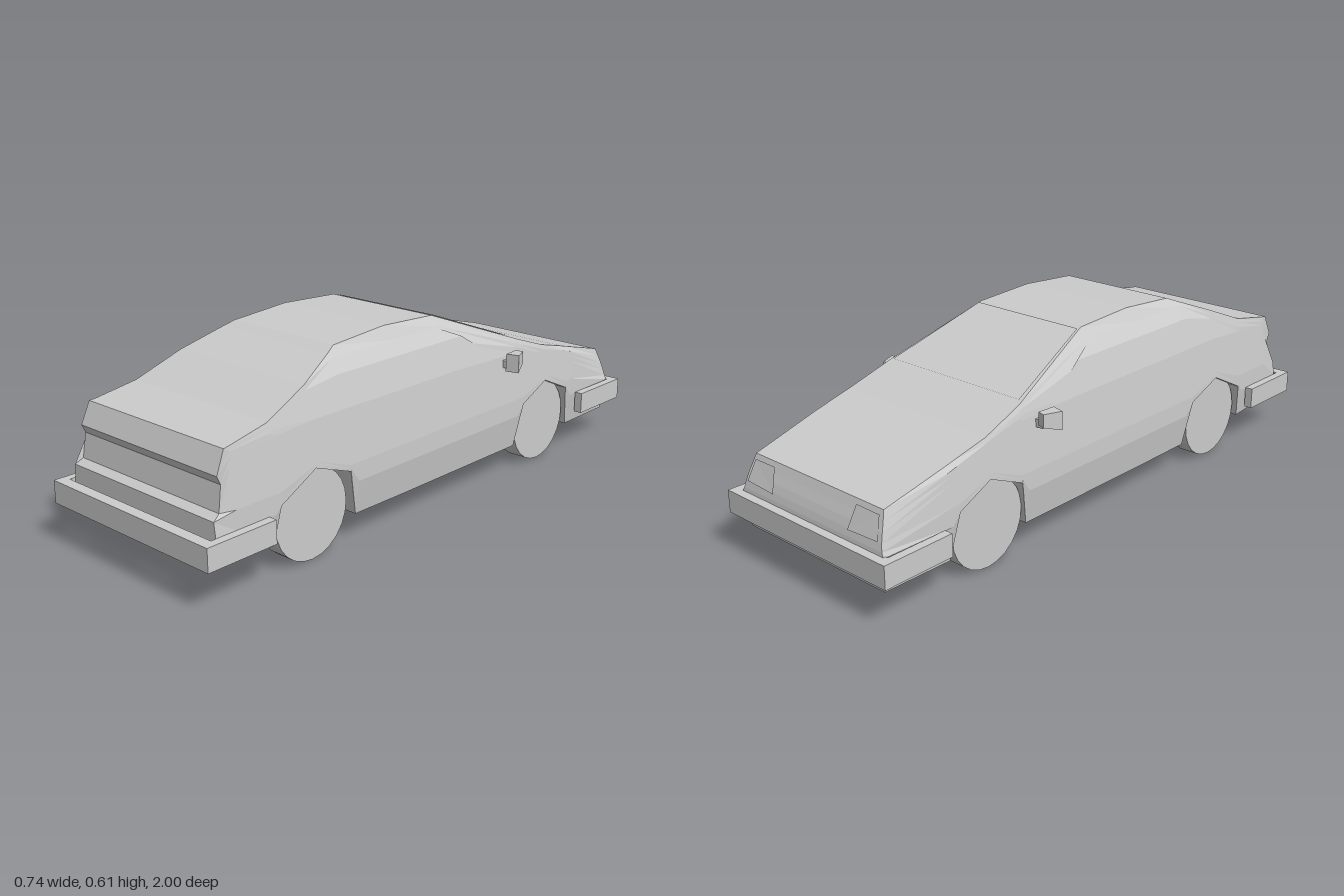
import * as THREE from 'three';

const grey = () => new THREE.MeshStandardMaterial({ color: 0xcccccc, flatShading: true, side: THREE.DoubleSide });

// Half width of the body at a given height
const PROFILE = [[0.08, 0.3], [0.2, 0.318], [0.26, 0.317], [0.43, 0.298], [0.528, 0.27], [0.57, 0.24], [0.597, 0.215], [0.7, 0.215]];
function halfWidth(y) {
  for (let i = 1; i < PROFILE.length; i++) {
    const [y0, x0] = PROFILE[i - 1], [y1, x1] = PROFILE[i];
    if (y <= y1) return x0 + (x1 - x0) * (y - y0) / (y1 - y0);
  }
  return 0.215;
}

// Stations along the car: z, roof height, height of the lower lip (raised in wheel arches), optional top half width
const STATIONS = [
  [0.87, 0.437, 0.115], [0.725, 0.463, 0.1], [0.705, 0.471, 0.22], [0.565, 0.528, 0.29],
  [0.425, 0.583, 0.24], [0.39, 0.597, 0.09], [0.17, 0.613, 0.088], [-0.056, 0.602, 0.088],
  [-0.405, 0.47, 0.088, 0.284], [-0.435, 0.459, 0.235, 0.287], [-0.565, 0.415, 0.29, 0.296],
  [-0.69, 0.384, 0.235, 0.293], [-0.72, 0.376, 0.088, 0.292],
];
const TAIL = [[0.2, 0.12, 0.945], [0.2, 0.12, 0.945], [0.312, 0.12, 0.945], [0.318, 0.2, 0.945], [0.312, 0.247, 0.945],
  [0.305, 0.262, 0.92], [0.302, 0.34, 0.908], [0.302, 0.366, 0.92], [0.298, 0.435, 0.89]];
const NOSE = [[0.2, 0.088, -0.96], [0.2, 0.088, -0.96], [0.297, 0.088, -0.96], [0.312, 0.2, -0.972], [0.305, 0.215, -0.97],
  [0.3, 0.237, -0.965], [0.295, 0.262, -0.957], [0.288, 0.29, -0.946], [0.28, 0.32, -0.935]];

function section([z, top, lip, topX]) {
  const floor = 0.088 + Math.max(0, z - 0.4) * 0.058;
  const ys = [lip, Math.max(0.2, lip + 0.01), Math.max(0.26, lip + 0.02),
    Math.min(0.43, top - 0.05), Math.min(0.528, top - 0.03), Math.min(0.57, top - 0.015)];
  return [[0.2, floor, z], [0.2, Math.max(lip, floor), z],
    ...ys.map(y => [halfWidth(y), y, z]), [topX ?? halfWidth(top), top, z]];
}

function geometryFrom(points, index) {
  const g = new THREE.BufferGeometry();
  g.setAttribute('position', new THREE.Float32BufferAttribute(points.flat(), 3));
  g.setIndex(index);
  g.computeVertexNormals();
  return g;
}

// Closed body lofted from mirrored sections, capped at tail and nose
function bodyGeometry() {
  const rings = [TAIL, ...STATIONS.map(section), NOSE]
    .map(half => [...half, ...half.map(([x, y, z]) => [-x, y, z]).reverse()]);
  const n = rings[0].length, index = [];
  for (let i = 0; i < rings.length - 1; i++) {
    for (let j = 0; j < n; j++) {
      const a = i * n + j, b = i * n + (j + 1) % n, c = a + n, d = b + n;
      index.push(a, c, b, b, c, d);
    }
  }
  const last = (rings.length - 1) * n;
  for (let j = 0; j < n / 2 - 1; j++) {
    const a = j, b = j + 1, c = n - 2 - j, d = n - 1 - j;
    index.push(a, b, c, a, c, d);
    index.push(last + a, last + c, last + b, last + a, last + d, last + c);
  }
  return geometryFrom(rings.flat(), index);
}

// Strip of quads through rows of two points each
function stripGeometry(rows) {
  const index = [];
  for (let i = 0; i < rows.length - 1; i++) {
    const a = i * 2;
    index.push(a, a + 1, a + 2, a + 1, a + 3, a + 2);
  }
  return geometryFrom(rows.flat(), index);
}

export function createModel() {
  const car = new THREE.Group();
  car.name = 'car';
  const add = (name, geometry, parent = car) => {
    const m = new THREE.Mesh(geometry, grey());
    m.name = name;
    parent.add(m);
    return m;
  };
  const box = (name, w, h, d, x, y, z, parent) => {
    const m = add(name, new THREE.BoxGeometry(w, h, d), parent);
    m.position.set(x, y, z);
    return m;
  };

  add('body', bodyGeometry());

  // Windscreen, just proud of the body
  add('windscreen', stripGeometry([
    [[0.213, 0.6, -0.07], [-0.213, 0.6, -0.07]],
    [[0.272, 0.475, -0.4], [-0.272, 0.475, -0.4]],
  ]));

  // Bumpers with ends wrapping round the corners
  for (const [name, s] of [['rearBumper', 1], ['frontBumper', -1]]) {
    const bumper = new THREE.Group();
    bumper.name = name;
    car.add(bumper);
    box('bumperBar', 0.694, 0.073, 0.037, 0, 0.166, s * 0.9815, bumper);
    for (const side of [1, -1]) box('bumperEnd', 0.028, 0.073, 0.215, side * 0.333, 0.166, s * 0.86, bumper);
  }

  for (const side of [1, -1]) {
    // Wheels
    for (const [name, z] of [['rearWheel', 0.565], ['frontWheel', -0.56]]) {
      const wheel = add(name, new THREE.CylinderGeometry(0.143, 0.143, 0.068, 24).rotateZ(Math.PI / 2));
      wheel.position.set(side * 0.26, 0.143, z);
    }

    // Side windows: each row is height, rear z, front z
    const windows = {
      frontSideWindow: [[0.43, 0.07, -0.29], [0.528, 0.08, -0.14], [0.562, 0.085, -0.06]],
      rearSideWindow: [[0.43, 0.34, 0.085], [0.528, 0.38, 0.095], [0.562, 0.37, 0.1]],
    };
    for (const [name, rows] of Object.entries(windows)) {
      add(name, stripGeometry(rows.map(([y, z0, z1]) => {
        const x = side * (halfWidth(y) + 0.002);
        return [[x, y, z0], [x, y, z1]];
      })));
    }

    // Headlamp set on the sloping nose
    add('headlamp', stripGeometry([
      [[side * 0.18, 0.308, -0.945], [side * 0.272, 0.306, -0.944]],
      [[side * 0.165, 0.235, -0.97], [side * 0.288, 0.24, -0.968]],
    ]));

    // Door mirror: short arm and tapered housing
    const mirror = new THREE.Group();
    mirror.name = 'doorMirror';
    car.add(mirror);
    box('mirrorArm', 0.04, 0.025, 0.03, side * 0.308, 0.398, -0.345, mirror);
    const housing = new THREE.BoxGeometry(0.045, 0.06, 0.06);
    const p = housing.attributes.position;
    for (let i = 0; i < p.count; i++) {
      if (p.getZ(i) < 0) p.setXYZ(i, p.getX(i) * 0.6, p.getY(i) * 0.7 + 0.008, p.getZ(i));
    }
    const head = add('mirrorHousing', housing, mirror);
    head.position.set(side * 0.342, 0.412, -0.345);
    head.rotation.y = side * 0.25;
  }
  return car;
}
